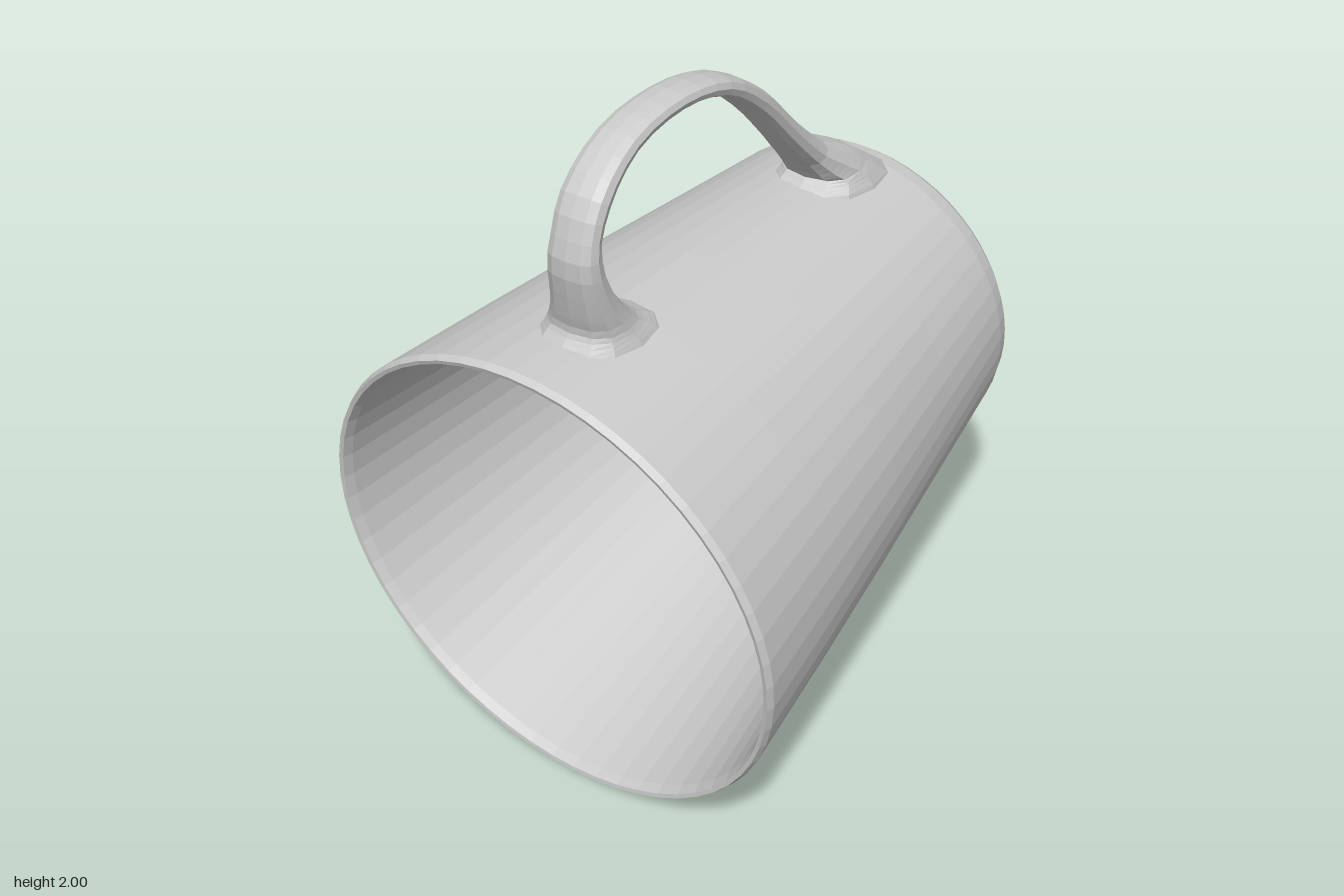
import * as THREE from 'three';

const material = () => new THREE.MeshStandardMaterial({ color: 0xcccccc, flatShading: true });

// Sweep of a flattened oval in the xy plane.
// Each station: [x, y, z, half thickness, half width, direction of thickness in degrees]
function sweep(stations, steps, sides) {
  const path = new THREE.CatmullRomCurve3(stations.map(s => new THREE.Vector3(s[0], s[1], s[2])));
  const size = new THREE.CatmullRomCurve3(
    stations.map(s => new THREE.Vector3(s[3], s[4], THREE.MathUtils.degToRad(s[5]))));
  const squared = w => Math.sign(w) * Math.abs(w) ** 0.8;
  const positions = [], index = [];
  for (let i = 0; i <= steps; i++) {
    const c = path.getPoint(i / steps), s = size.getPoint(i / steps);
    for (let j = 0; j < sides; j++) {
      const a = (j / sides) * Math.PI * 2;
      const u = squared(Math.cos(a)) * s.x, v = squared(Math.sin(a)) * s.y;
      positions.push(c.x + Math.cos(s.z) * u, c.y + Math.sin(s.z) * u, c.z + v);
      if (i < steps) {
        const k = (j + 1) % sides, p = i * sides, q = p + sides;
        index.push(p + j, p + k, q + k, p + j, q + k, q + j);
      }
    }
  }
  const g = new THREE.BufferGeometry();
  g.setAttribute('position', new THREE.Float32BufferAttribute(positions, 3));
  g.setIndex(index);
  g.computeVertexNormals();
  return g;
}

export function createModel() {
  const group = new THREE.Group();
  group.name = 'mug';

  // Tapered cup: rounded floor, inner wall, rim, outer wall, foot ring, dished base
  const profile = [
    [0, 1.47], [0.36, 1.46], [0.44, 1.43], [0.483, 1.36], [0.585, 0.75], [0.69, 0.03], [0.7, 0.003],
    [0.712, 0], [0.72, 0.02], [0.671, 0.4], [0.619, 0.77], [0.562, 1.15], [0.508, 1.515],
    [0.493, 1.565], [0.47, 1.593], [0.45, 1.6], [0.43, 1.588], [0.39, 1.56], [0.3, 1.548], [0, 1.54],
  ].map(p => new THREE.Vector2(p[0], p[1]));
  const cup = new THREE.Mesh(new THREE.LatheGeometry(profile, 56), material());
  cup.name = 'cup';
  // Lying on its side with the mouth toward -x
  cup.position.set(-0.775, 0.716, 0);
  cup.rotation.z = -Math.PI / 2 + 0.132;
  group.add(cup);

  // Looped handle, its flared ends sunk level into the wall
  const handle = new THREE.Mesh(sweep([
    [-0.54, 1.385, 0.03, 0.19, 0.15, 180],
    [-0.55, 1.425, 0.03, 0.15, 0.135, 180],
    [-0.575, 1.465, 0.035, 0.098, 0.115, 180],
    [-0.63, 1.55, 0.055, 0.062, 0.09, 185],
    [-0.68, 1.7, 0.07, 0.04, 0.075, 178],
    [-0.638, 1.84, 0.075, 0.038, 0.07, 145],
    [-0.5, 1.94, 0.07, 0.031, 0.064, 112],
    [-0.3, 1.973, 0.07, 0.027, 0.06, 90],
    [-0.1, 1.935, 0.065, 0.029, 0.062, 68],
    [0.08, 1.82, 0.05, 0.034, 0.066, 52],
    [0.25, 1.655, 0.04, 0.036, 0.07, 46],
    [0.37, 1.545, 0.03, 0.045, 0.085, 42],
    [0.45, 1.488, 0.03, 0.075, 0.105, 25],
    [0.515, 1.44, 0.03, 0.125, 0.125, 0],
    [0.53, 1.405, 0.03, 0.175, 0.14, -3],
    [0.535, 1.37, 0.03, 0.2, 0.15, -3],
  ], 45, 12), material());
  handle.name = 'handle';
  group.add(handle);

  return group;
}
